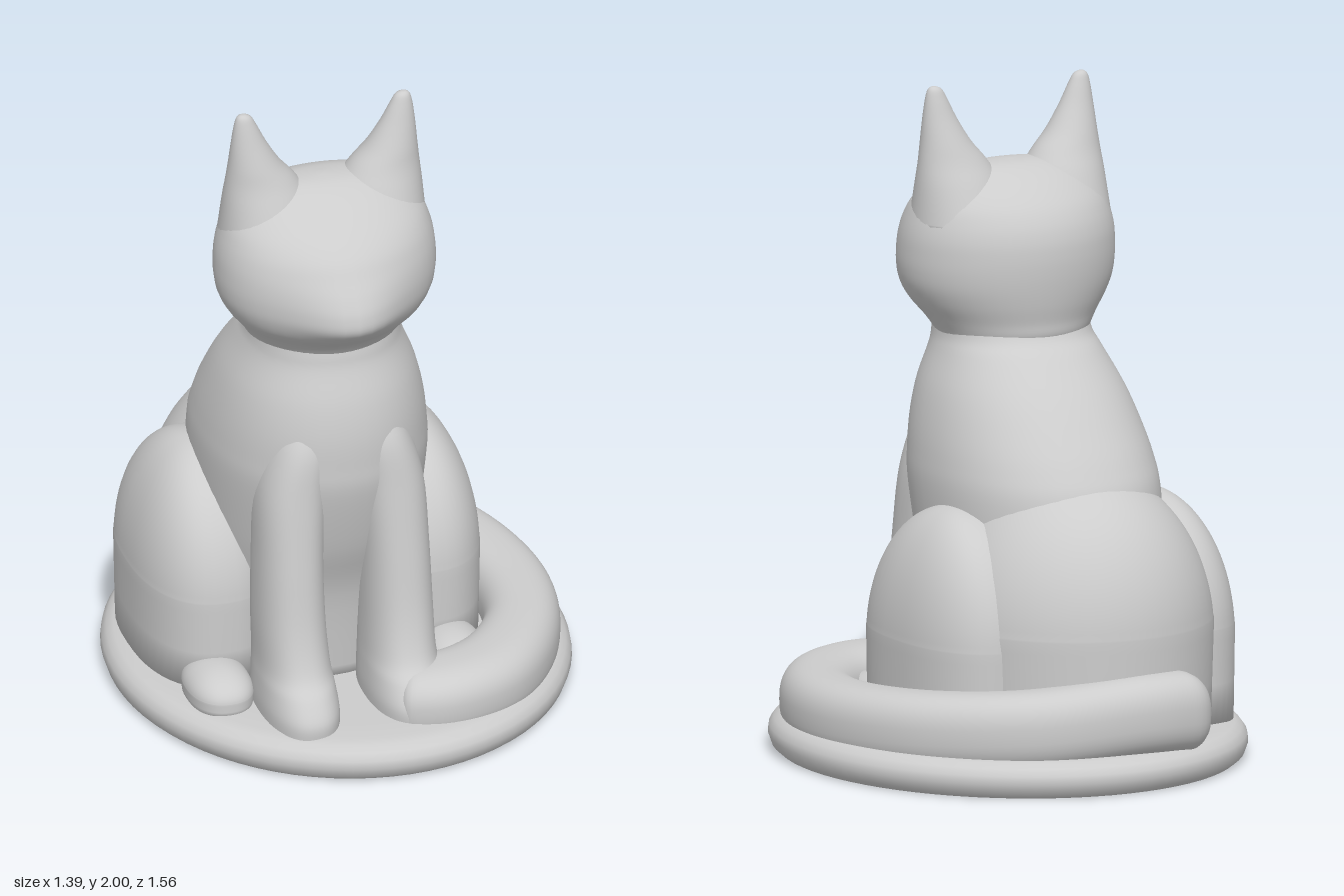
import * as THREE from 'three';

const CX = -0.095; // the cat sits slightly off the middle of its plinth
const SEG = 48;

// Smooth interpolation through table rows
function refine(rows, steps) {
  const out = [], at = i => rows[Math.max(0, Math.min(rows.length - 1, i))];
  for (let i = 0; i < rows.length - 1; i++) {
    for (let k = 0; k < steps; k++) {
      const t = k / steps;
      out.push(rows[i].map((b, j) => {
        const a = at(i - 1)[j], c = at(i + 1)[j], d = at(i + 2)[j];
        return b + 0.5 * t * (c - a + t * (2 * a - 5 * b + 4 * c - d + t * (3 * (b - c) + d - a)));
      }));
    }
  }
  out.push(rows[rows.length - 1]);
  return out;
}

// Skin closed rings of points, with a centre point closing each end
function skin(rings) {
  const flat = r => {
    const c = r.reduce((s, p) => s.add(p), new THREE.Vector3()).divideScalar(r.length);
    return r.map(() => c);
  };
  const all = [flat(rings[0]), ...rings, flat(rings[rings.length - 1])];
  const index = [];
  for (let i = 0; i < all.length - 1; i++) {
    for (let j = 0; j < SEG; j++) {
      const a = i * SEG + j, b = i * SEG + (j + 1) % SEG;
      index.push(a, a + SEG, b, b, a + SEG, b + SEG);
    }
  }
  const g = new THREE.BufferGeometry().setFromPoints(all.flat());
  g.setIndex(index);
  g.computeVertexNormals();
  return g;
}

const bend = (v, n) => Math.sign(v) * Math.abs(v) ** (2 / n);

// Rows going up: [y, xMin, xMax, zMin, zMax, extra point at the front]
function loft(rows, n = 2, steps = 5) {
  return skin(refine(rows, steps).map(([y, x0, x1, z0, z1, p = 0]) =>
    Array.from({ length: SEG }, (_, j) => {
      const a = j / SEG * Math.PI * 2, s = Math.sin(a);
      return new THREE.Vector3(
        CX + (x0 + x1) / 2 + (x1 - x0) / 2 * bend(Math.cos(a), n), y,
        (z0 + z1) / 2 + (z1 - z0) / 2 * bend(s, n) + p * Math.max(0, s) ** 10);
    })));
}

// Rounded mass: domed above its widest level, straight down to the foot
function dome(x, y, z, rx, ry, rz, foot, n = 2) {
  const rows = [[foot, x - rx * 0.97, x + rx * 0.97, z - rz, z + rz]];
  for (let i = 0; i <= 18; i++) {
    const a = i / 18 * Math.PI / 2, c = Math.max(0.004, Math.cos(a));
    rows.push([y + ry * Math.sin(a), x - rx * c, x + rx * c, z - rz * c, z + rz * c]);
  }
  return loft(rows, n, 2);
}

const mirror = (rows, side) => side > 0 ? rows : rows.map(([y, a, b, ...r]) => [y, -b, -a, ...r]);

// Tail swept along a curve lying on the plinth
function tailGeometry() {
  const curve = new THREE.CatmullRomCurve3([
    [-0.33, 0.2, -0.6], [-0.1, 0.21, -0.635], [0.22, 0.18, -0.56], [0.44, 0.16, -0.34],
    [0.54, 0.145, -0.02], [0.5, 0.14, 0.25], [0.34, 0.14, 0.47], [0.16, 0.14, 0.54], [0.03, 0.13, 0.5],
  ].map(p => new THREE.Vector3(...p)));
  const up = new THREE.Vector3(0, 1, 0), rings = [], N = 90;
  for (let i = 0; i <= N; i++) {
    const t = i / N, c = curve.getPoint(t);
    const side = curve.getTangent(t).setY(0).normalize().cross(up);
    const d = Math.min(1, Math.min(t, 1 - t) / 0.06);
    const end = Math.max(0.01, Math.sqrt(1 - (1 - d) ** 2));
    const w = (0.115 + 0.02 * THREE.MathUtils.smoothstep(t, 0.6, 0.8)) * end;
    const h = (0.125 - 0.015 * t) * end;
    rings.push(Array.from({ length: SEG }, (_, j) => {
      const a = j / SEG * Math.PI * 2;
      return c.clone().addScaledVector(side, w * bend(Math.cos(a), 2.5))
        .addScaledVector(up, h * bend(Math.sin(a), 2.5));
    }));
  }
  return skin(rings);
}

export function createModel() {
  const model = new THREE.Group();
  model.name = 'sittingCatFigurine';
  const stone = new THREE.MeshStandardMaterial({ color: 0xcccccc });
  stone.name = 'pale grey';
  const add = (name, geometry) => {
    const m = new THREE.Mesh(geometry, stone);
    m.name = name;
    model.add(m);
    return m;
  };

  // Oval plinth with a rounded rim
  const rim = [[0, 0], [0.96, 0], [0.962, 0.001], [0.985, 0.015], [1, 0.045], [0.995, 0.07],
    [0.975, 0.09], [0.945, 0.104], [0.9, 0.11], [0.8, 0.112], [0, 0.112]];
  const plinth = new THREE.LatheGeometry(rim.map(p => new THREE.Vector2(...p)), 72);
  plinth.scale(0.695, 1, 0.78);
  add('plinth', plinth);

  // Chest, back and neck
  add('torso', loft([
    [0.1, -0.3, 0.3, -0.45, 0.29], [0.4, -0.32, 0.32, -0.45, 0.33], [0.6, -0.335, 0.335, -0.45, 0.4],
    [0.8, -0.345, 0.345, -0.43, 0.45], [0.9, -0.338, 0.338, -0.385, 0.455],
    [1.0, -0.32, 0.32, -0.315, 0.45], [1.1, -0.292, 0.292, -0.235, 0.43],
    [1.2, -0.25, 0.25, -0.14, 0.395], [1.25, -0.234, 0.234, -0.085, 0.385],
    [1.32, -0.23, 0.23, -0.05, 0.37],
  ], 2.15));
  add('rump', dome(0, 0.4, -0.22, 0.42, 0.5, 0.435, 0.1));

  // Head with a softly pointed muzzle
  add('head', loft([
    [1.22, -0.22, 0.22, -0.06, 0.36, 0], [1.26, -0.236, 0.236, -0.08, 0.385, 0],
    [1.3, -0.262, 0.262, -0.085, 0.415, 0.005], [1.35, -0.3, 0.3, -0.095, 0.46, 0.03],
    [1.4, -0.325, 0.325, -0.102, 0.478, 0.065], [1.45, -0.335, 0.335, -0.106, 0.483, 0.06],
    [1.5, -0.336, 0.336, -0.106, 0.48, 0.04], [1.55, -0.332, 0.332, -0.1, 0.467, 0.02],
    [1.6, -0.32, 0.32, -0.083, 0.444, 0.008], [1.65, -0.3, 0.3, -0.05, 0.4, 0],
    [1.7, -0.26, 0.26, 0.005, 0.335, 0], [1.735, -0.205, 0.205, 0.06, 0.275, 0],
    [1.755, -0.13, 0.13, 0.11, 0.225, 0], [1.762, -0.01, 0.01, 0.16, 0.18, 0],
  ]));

  for (const side of [1, -1]) {
    const s = side > 0 ? 'left' : 'right';
    // Ears flare out into the skull
    add(s + 'Ear', loft(mirror([
      [1.58, 0.02, 0.318, -0.01, 0.33], [1.7, 0.045, 0.308, 0.04, 0.285], [1.77, 0.085, 0.3, 0.075, 0.257],
      [1.83, 0.135, 0.293, 0.1, 0.24], [1.9, 0.178, 0.286, 0.127, 0.22], [1.96, 0.208, 0.278, 0.146, 0.204],
      [1.99, 0.225, 0.27, 0.157, 0.194], [2.0, 0.243, 0.258, 0.17, 0.182],
    ], side)));
    // Front legs running down into paws
    add(s + 'FrontLeg', loft(mirror([
      [0.1, 0.05, 0.28, 0.2, 0.65], [0.15, 0.05, 0.28, 0.2, 0.648], [0.21, 0.055, 0.275, 0.2, 0.61],
      [0.27, 0.06, 0.27, 0.2, 0.56], [0.4, 0.065, 0.27, 0.2, 0.52], [0.6, 0.065, 0.265, 0.2, 0.49],
      [0.8, 0.05, 0.255, 0.19, 0.463], [0.95, 0.03, 0.215, 0.17, 0.44], [1.05, 0.03, 0.17, 0.16, 0.39],
    ], side), 2.3));
    // Folded hind legs
    add(s + 'Haunch', dome(side * 0.325, 0.36, -0.09, 0.21, 0.42, 0.355, 0.1, 2.35));
    add(s + 'HindFoot', dome(side * 0.365, 0.14, 0.29, 0.1, 0.075, 0.145, 0.1, 2.3));
  }

  // Tail curling round the left side to the front paw
  add('tail', tailGeometry());
  return model;
}
